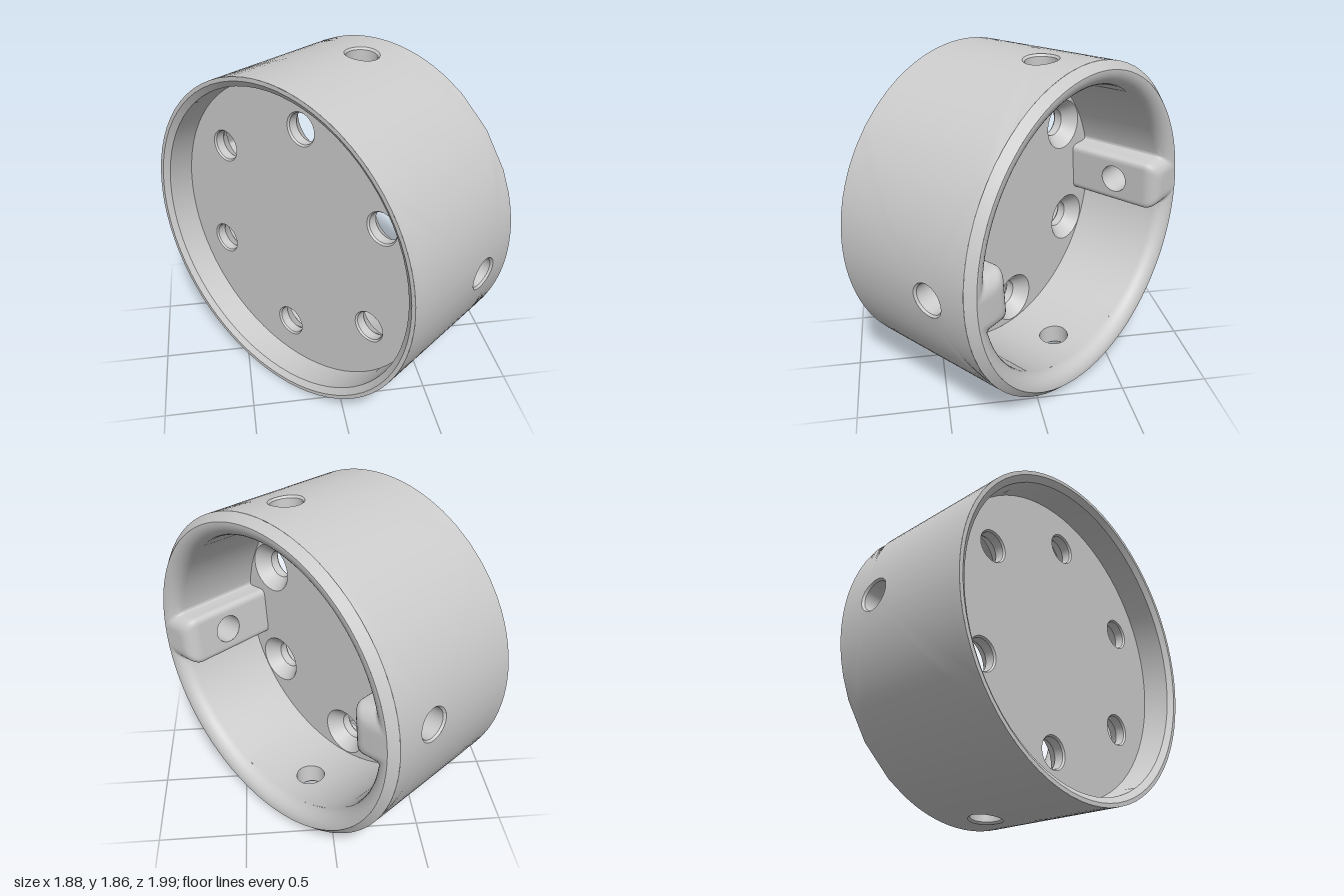
import * as THREE from 'three';
import { mergeGeometries, toCreasedNormals } from 'three/addons/utils/BufferGeometryUtils.js';

const V = (x, y, z) => new THREE.Vector3(x, y, z);
const material = new THREE.MeshStandardMaterial({ color: 0xcccccc });

// Main sizes: the axis is local z, the recessed face looks to +z
const R = 0.93, FRONT = 0.445, RECESS = 0.262, FLOOR = 0.12, CHAMFER = -0.44, BACK = -0.483;
const RIM = 0.887, BORE = 0.8, FILLET = 0.085, FILLET_Z = BACK + FILLET;
const PAD = 0.65, PAD_HALF = 0.15, PAD_ROUND = 0.04, COVE = 0.025;
const HOLE_Z = -0.19, HOLE_R = 0.085, HOLE_LIP = 0.095, PATCH = THREE.MathUtils.degToRad(25);
const FACE_STEPS = 6, PATCH_STEPS = 10;

// Surface through a list of point rings
function skin(rings, closed = true) {
  const out = [];
  for (let i = 0; i + 1 < rings.length; i++) {
    const p = rings[i], q = rings[i + 1], n = p.length;
    for (let j = 0; j < (closed ? n : n - 1); j++) {
      const k = (j + 1) % n;
      for (const v of [p[j], p[k], q[k], p[j], q[k], q[j]]) out.push(v.x, v.y, v.z);
    }
  }
  const g = new THREE.BufferGeometry();
  g.setAttribute('position', new THREE.Float32BufferAttribute(out, 3));
  return g;
}

const circle = (r, z = 0, n = 72, cx = 0, cy = 0) => Array.from({ length: n }, (_, i) => {
  const a = (i / n) * Math.PI * 2;
  return V(cx + r * Math.cos(a), cy + r * Math.sin(a), z);
});
const lathe = (profile) => skin(profile.map(([r, z]) => circle(r, z)));

// Rectangular surface piece with a round hole; map turns (s, z) into a point
function holePatch(map, half, z0, z1, holeR, toS, outward) {
  const up = z1 - HOLE_Z, down = HOLE_Z - z0;
  const corners = [Math.atan2(-down, half), Math.atan2(up, half), Math.atan2(up, -half),
    Math.atan2(-down, -half) + Math.PI * 2, Math.atan2(-down, half) + Math.PI * 2];
  const angles = [];
  for (let c = 0; c < 4; c++)
    for (let m = 0; m < 20; m++) angles.push(THREE.MathUtils.lerp(corners[c], corners[c + 1], m / 20));
  const rings = [];
  for (let i = 0; i <= 12; i++) rings.push(angles.map((a) => {
    const co = Math.cos(a), si = Math.sin(a);
    const d = Math.min(half / Math.abs(co), (si > 0 ? up : down) / Math.abs(si));
    const s = THREE.MathUtils.lerp(toS(holeR * co), d * co, i / 12);
    return map(s, HOLE_Z + THREE.MathUtils.lerp(holeR * si, d * si, i / 12));
  }));
  return skin(outward ? rings.reverse() : rings);
}
const onCylinder = (r) => (s, z) => V(r * Math.cos(s), r * Math.sin(s), z);
const arc = (r) => (p) => Math.asin(p / r);

// One quarter of the bore outline, pad middle to wall middle, grown by o
function quarter(o, z) {
  const pts = [], w = PAD_HALF - o, x = PAD + o, r = BORE + o, wall = Math.sqrt(r * r - w * w);
  for (let i = 0; i < FACE_STEPS; i++) pts.push(V(x, (w - PAD_ROUND) * i / FACE_STEPS, z));
  const a0 = Math.asin((w + COVE) / r), a1 = Math.PI / 2 - PATCH;
  const bend = (a, b, c) => pts.push(...new THREE.QuadraticBezierCurve3(a, b, c).getPoints(6));
  bend(V(x, w - PAD_ROUND, z), V(x, w, z), V(x + PAD_ROUND, w, z));
  bend(V(wall - COVE, w, z), V(wall, w, z), V(r * Math.cos(a0), r * Math.sin(a0), z));
  const sweep = (from, to, n) => {
    for (let i = 1; i <= n; i++) {
      const a = THREE.MathUtils.lerp(from, to, i / n);
      pts.push(V(r * Math.cos(a), r * Math.sin(a), z));
    }
  };
  sweep(a0, a1, 16);
  sweep(a1, Math.PI / 2, PATCH_STEPS);
  return pts;
}
const mirrorX = (pts) => pts.map((p) => V(-p.x, p.y, p.z)).reverse();
const turn = (pts) => pts.map((p) => V(-p.x, -p.y, p.z));
function outline(o, z) {
  const q = quarter(o, z);
  const half = [...q.slice(0, -1), ...mirrorX(q).slice(0, -1)];
  return [...half, ...turn(half)];
}

// Flat disc with the six screw holes cut out
const screws = Array.from({ length: 6 }, (_, i) => {
  const a = Math.PI / 2 + (i * Math.PI) / 3;
  return [0.645 * Math.cos(a), 0.645 * Math.sin(a)];
});
function plate(edge, holeR) {
  const flat = (pts) => pts.map((p) => new THREE.Vector2(p.x, p.y));
  const shape = new THREE.Shape(flat(edge));
  for (const [x, y] of screws) shape.holes.push(new THREE.Path(flat(circle(holeR, 0, 32, x, y))));
  return new THREE.ShapeGeometry(shape);
}

export function createModel() {
  const model = new THREE.Group();
  model.name = 'ringHousing';
  const body = new THREE.Group();
  body.name = 'housingBody';
  body.rotation.set(0, THREE.MathUtils.degToRad(-50), THREE.MathUtils.degToRad(-5));
  body.position.y = R;
  model.add(body);
  const add = (name, parts) => {
    const mesh = new THREE.Mesh(toCreasedNormals(mergeGeometries(parts), 0.6), material);
    mesh.name = name;
    body.add(mesh);
  };
  const quadrants = [0, 1, 2, 3];

  // Outer wall with four radial holes, back chamfer and front lip
  add('outerWall', quadrants.map((q) =>
    holePatch(onCylinder(R), Math.PI / 4, CHAMFER, FRONT, HOLE_LIP, arc(R), true).rotateZ(q * Math.PI / 2)));
  add('backChamfer', [lathe([[RIM, BACK], [R, CHAMFER]])]);
  add('frontRecess', [lathe([[R, FRONT], [0.908, FRONT], [0.875, 0.42], [0.87, RECESS]])]);

  // Bore wall, the two pads and the rounded back rim
  const bore = [];
  const near = quarter(0, FLOOR).slice(FACE_STEPS, -PATCH_STEPS);
  for (const side of [near, mirrorX(near), turn(near), turn(mirrorX(near))])
    bore.push(skin([side, side.map((p) => V(p.x, p.y, FILLET_Z))], false));
  for (const q of quadrants) {
    const g = q % 2
      ? holePatch(onCylinder(BORE), PATCH, FILLET_Z, FLOOR, HOLE_R, arc(BORE), false)
      : holePatch((s, z) => V(PAD, s, z), PAD_HALF - PAD_ROUND, FILLET_Z, FLOOR, HOLE_R, (p) => p, false);
    bore.push(g.rotateZ(q * Math.PI / 2));
  }
  const rings = [];
  for (let i = 0; i <= 8; i++) {
    const a = (i / 8) * Math.PI / 2;
    rings.push(outline(FILLET * (1 - Math.cos(a)), FILLET_Z - FILLET * Math.sin(a)));
  }
  // Flat rim, carried across the pad ends
  rings.push(rings[8].map((p) => Math.abs(p.y) < 0.3
    ? V(Math.sign(p.x) * Math.sqrt(RIM * RIM - p.y * p.y), p.y, BACK)
    : V(p.x, p.y, 0).setLength(RIM).setZ(BACK)));
  bore.push(skin(rings));
  add('boreAndPads', bore);

  // Radial hole walls with a small lip on the outside
  add('radialHoles', quadrants.map((q) => {
    const ring = (rad, r) => circle(r, 0, 40).map((p) =>
      V(rad ? Math.sqrt(rad * rad - p.x * p.x) : PAD, p.x, HOLE_Z + p.y));
    return skin([ring(R, HOLE_LIP), ring(R - 0.012, HOLE_R), ring(q % 2 ? BORE : 0, HOLE_R)])
      .rotateZ(q * Math.PI / 2);
  }));

  // Dividing plate with countersunk screw holes
  add('plateFront', [plate(circle(0.87), 0.093).translate(0, 0, RECESS)]);
  add('plateBack', [plate(outline(0, 0), 0.15).rotateX(Math.PI).translate(0, 0, FLOOR)]);
  add('screwHoles', screws.map(([x, y]) => skin(
    [[0.093, RECESS], [HOLE_R, 0.252], [HOLE_R, 0.2], [0.15, FLOOR]].map(([r, z]) => circle(r, z, 32, x, y)))));
  return model;
}
